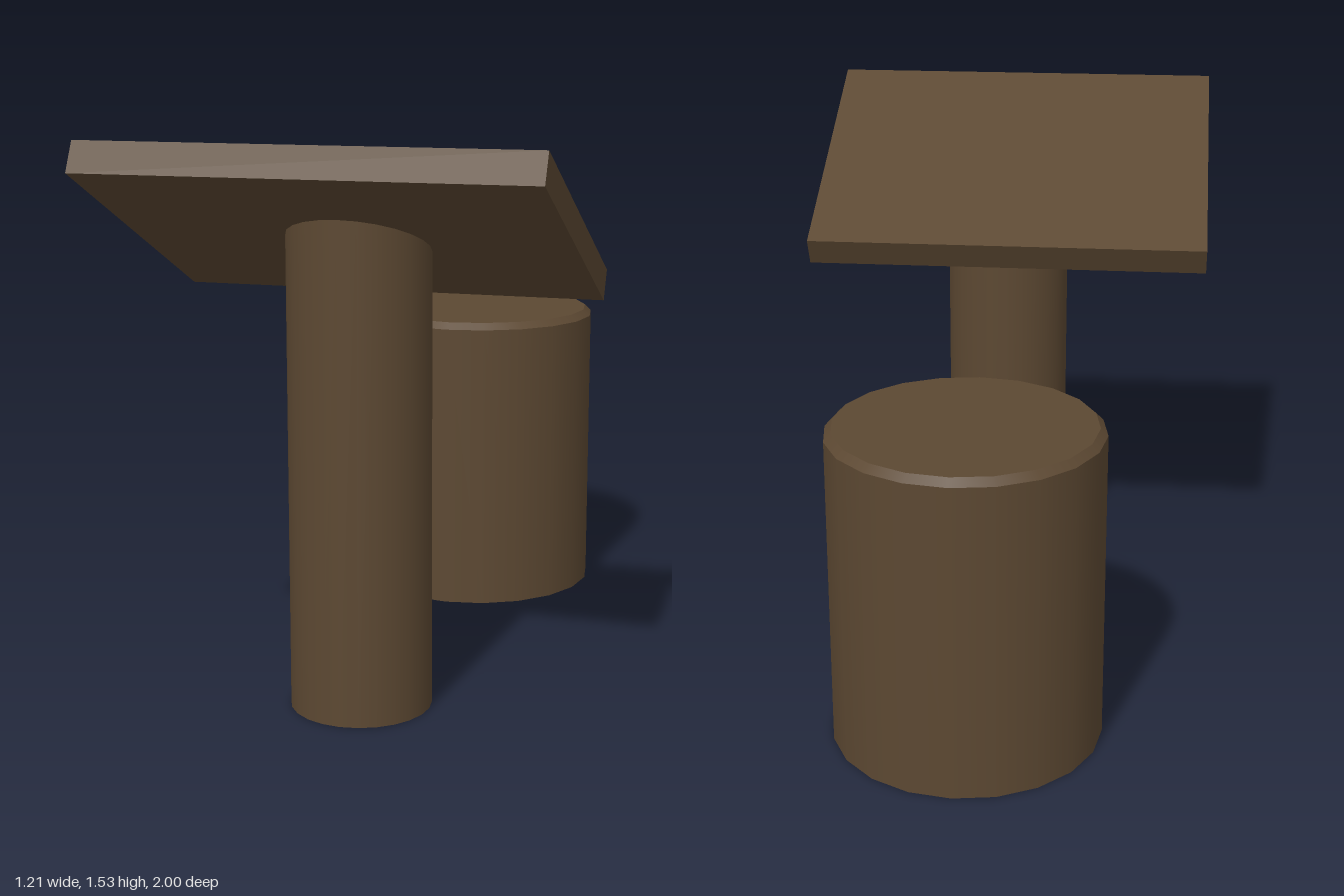
import * as THREE from 'three';

export function createModel() {
  const group = new THREE.Group();
  const wood = new THREE.MeshStandardMaterial({ color: 0x5c4832 });
  wood.name = 'dark brown wood';

  const add = (name, geometry, x, y, z) => {
    const mesh = new THREE.Mesh(geometry, wood);
    mesh.name = name;
    mesh.position.set(x, y, z);
    group.add(mesh);
    return mesh;
  };

  // Stump seat with a small chamfer; repeated points keep the edges sharp
  const profile = [
    [0, 0], [0.375, 0], [0.375, 0], [0.375, 0.88], [0.375, 0.88],
    [0.355, 0.9], [0.355, 0.9], [0, 0.9],
  ].map(([r, y]) => new THREE.Vector2(r, y));
  add('stumpSeat', new THREE.LatheGeometry(profile, 20), 0.025, 0, -0.625);

  // Sloping table top
  const tilt = 0.458;
  const board = add('tableTop', new THREE.BoxGeometry(1.205, 0.088, 0.859), -0.002, 1.301, 0.595);
  board.rotation.x = -tilt;

  // Post, slightly narrower in depth at the top and cut to the slope
  const post = new THREE.CylinderGeometry(0.192, 0.192, 1, 24);
  const p = post.attributes.position;
  const n = post.attributes.normal;
  for (let i = 0; i < p.count; i++) {
    if (p.getY(i) > 0) {
      const z = p.getZ(i) * 0.91;
      p.setXYZ(i, p.getX(i), 1.255 + z * 0.45, z);
      if (n.getY(i) > 0.9) n.setXYZ(i, 0, Math.cos(tilt), -Math.sin(tilt));
    } else {
      p.setY(i, 0);
    }
  }
  add('tablePost', post, 0.027, 0, 0.615);

  return group;
}
